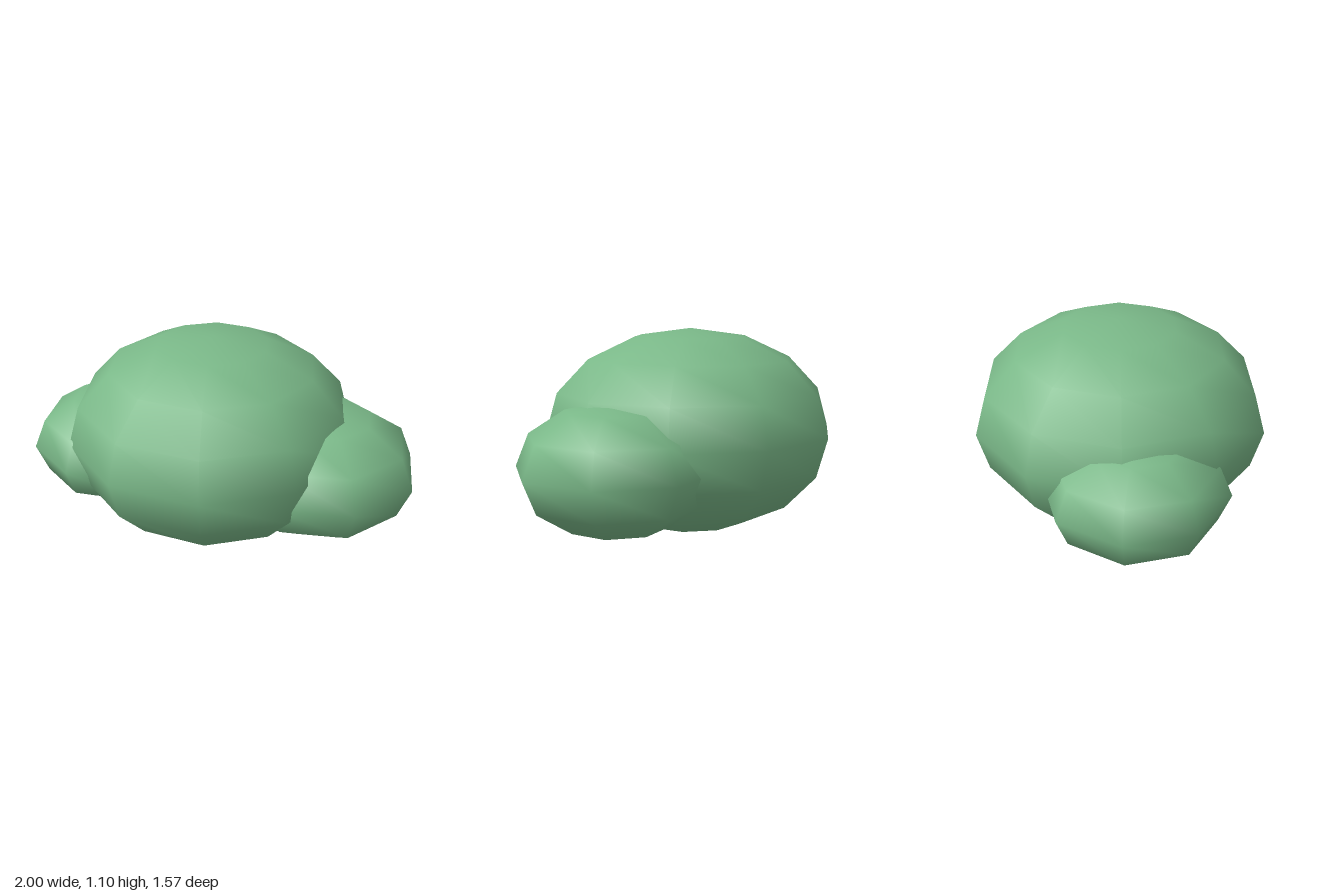
import * as THREE from 'three';

const leafGreen = new THREE.MeshStandardMaterial({ name: 'leafGreen', color: 0x7ab888 });

// A flattened, smooth-shaded ball of foliage
function foliage(name, [x, y, z], radius, halfHeight, sides, rings) {
  const geometry = new THREE.SphereGeometry(radius, sides, rings);
  geometry.scale(1, halfHeight / radius, 1);
  const mesh = new THREE.Mesh(geometry, leafGreen);
  mesh.name = name;
  mesh.position.set(x, y, z);
  return mesh;
}

export function createModel() {
  const bush = new THREE.Group();
  bush.name = 'bush';
  bush.add(
    foliage('mainFoliage', [-0.043, 0.548, -0.043], 0.783, 0.548, 10, 8),
    foliage('leftFrontFoliage', [0.478, 0.42, 0.26], 0.522, 0.339, 8, 6),
    foliage('rightBackFoliage', [-0.526, 0.42, -0.304], 0.474, 0.308, 8, 6),
  );
  return bush;
}
